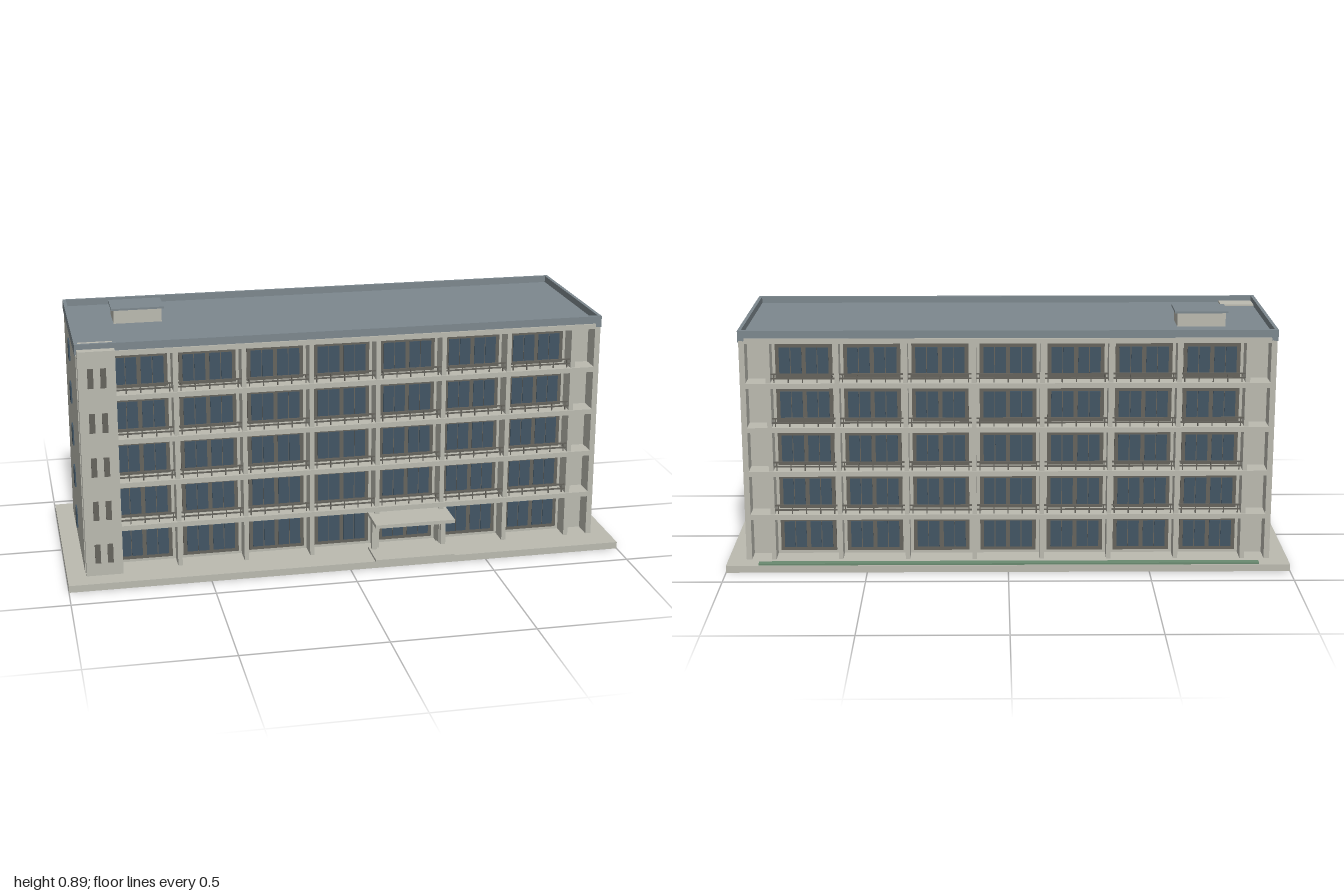
import * as THREE from 'three';

const mat = (name, color, extra = {}) => {
  const m = new THREE.MeshStandardMaterial({ color, ...extra });
  m.name = name;
  return m;
};

export function createModel() {
  const concrete = mat('concrete', 0xbbbab0);
  const roofGrey = mat('roof grey', 0x7d888e);
  const glass = mat('window glass', 0x425564);
  const frame = mat('dark frame', 0x66645d);
  const green = mat('hedge green', 0x6a8a70);

  const model = new THREE.Group();
  model.name = 'apartmentBlock';

  // Box given by its low and high limits on each axis
  const box = (name, m, x0, x1, y0, y1, z0, z1, parent = model) => {
    const mesh = new THREE.Mesh(new THREE.BoxGeometry(x1 - x0, y1 - y0, z1 - z0), m);
    mesh.position.set((x0 + x1) / 2, (y0 + y1) / 2, (z0 + z1) / 2);
    mesh.name = name;
    parent.add(mesh);
    return mesh;
  };

  const floors = 5, pitch = 0.16, ground = 0.025;
  const bays = 7, bayWidth = 0.239;
  const front = 0.29, back = -0.335, recess = 0.07;

  // Plinth, hedge strip and core
  box('plinth', concrete, -1, 1, 0, ground, -0.405, 0.395);
  box('hedge', green, -0.89, 0.885, ground, 0.031, -0.4, -0.372);
  box('core', concrete, -0.915, 0.915, ground, 0.825, back + recess, front - recess);

  // End walls with one small window on each floor
  for (const s of [-1, 1]) {
    const wall = box('endWall', concrete, -0.01, 0.01, ground, 0.825, back, front);
    wall.position.x = s * 0.925;
    for (let f = 0; f < floors; f++) {
      const w = box('endWindow', glass, -0.004, 0.004, 0.072 + f * pitch, 0.145 + f * pitch, -0.075, -0.027);
      w.position.x = s * 0.936;
    }
  }

  // One long facade, facing local +z with its outer plane at z = 0
  const buildFacade = (name) => {
    const g = new THREE.Group();
    g.name = name;
    model.add(g);

    // Fins between the bays
    for (let i = 0; i <= bays; i++) {
      const x = (i - bays / 2) * bayWidth;
      box('fin', concrete, x - 0.008, x + 0.008, ground, 0.825, -recess, 0, g);
    }
    // Balcony slabs
    for (let f = 1; f <= floors; f++) {
      const y = ground + f * pitch;
      box('balconySlab', concrete, -0.915, 0.915, y - 0.01, y + 0.008, -recess, 0.006, g);
    }
    for (let f = 0; f < floors; f++) {
      const y = ground + f * pitch;
      for (let b = 0; b < bays; b++) {
        const x = (b - (bays - 1) / 2) * bayWidth;
        // Window wall with two glazed pairs
        box('windowFrame', frame, x - 0.1, x + 0.1, y + 0.012, y + 0.135, -recess, -recess + 0.006, g);
        for (const s of [-1, 1]) {
          for (const t of [-1, 1]) {
            const c = x + s * 0.047 + t * 0.0205;
            box('windowPane', glass, c - 0.019, c + 0.019, y + 0.025, y + 0.122, -recess, -recess + 0.009, g);
          }
        }
        // Railing on the upper floors
        if (f > 0) {
          for (const h of [0.02, 0.036]) {
            box('railingBar', frame, x - 0.111, x + 0.111, y + h, y + h + 0.005, -0.012, -0.007, g);
          }
          for (let p = -2; p <= 2; p++) {
            const c = x + p * 0.05;
            box('railingPost', frame, c - 0.002, c + 0.002, y + 0.008, y + 0.036, -0.011, -0.008, g);
          }
        }
      }
    }
    return g;
  };
  buildFacade('frontFacade').position.z = front;
  const rear = buildFacade('rearFacade');
  rear.rotation.y = Math.PI;
  rear.position.z = back;

  // Stair tower at the front corner
  box('stairTower', concrete, -0.932, -0.803, ground, 0.842, 0.2, 0.322);
  for (let f = 0; f < floors; f++) {
    for (const x of [-0.89, -0.846]) {
      const y = 0.072 + f * pitch;
      box('towerWindow', frame, x - 0.01, x + 0.01, y, y + 0.07, 0.318, 0.325);
    }
  }

  // Flat roof and parapet
  box('roof', roofGrey, -0.932, 0.932, 0.822, 0.836, back + 0.003, front - 0.003);
  const rim = 0.012;
  for (const s of [-1, 1]) {
    const side = box('parapetSide', roofGrey, -rim / 2, rim / 2, 0.82, 0.86, back, front);
    side.position.x = s * (0.938 - rim / 2);
  }
  box('parapetFront', roofGrey, -0.926, 0.926, 0.82, 0.86, front - rim, front);
  box('parapetBack', roofGrey, -0.926, 0.926, 0.82, 0.86, back, back + rim);

  // Roof hut
  box('roofHut', concrete, -0.775, -0.603, 0.83, 0.885, -0.163, -0.042);
  box('roofHutCap', roofGrey, -0.783, -0.594, 0.885, 0.892, -0.169, -0.036);

  // Entrance step, canopy and posts
  box('entranceStep', concrete, 0.09, 0.38, ground, 0.034, 0.27, 0.405);
  box('canopy', concrete, 0.09, 0.38, 0.152, 0.165, 0.27, 0.4);
  for (const x of [0.107, 0.363]) {
    box('canopyPost', concrete, x - 0.009, x + 0.009, 0.034, 0.152, 0.285, 0.305);
  }

  return model;
}
